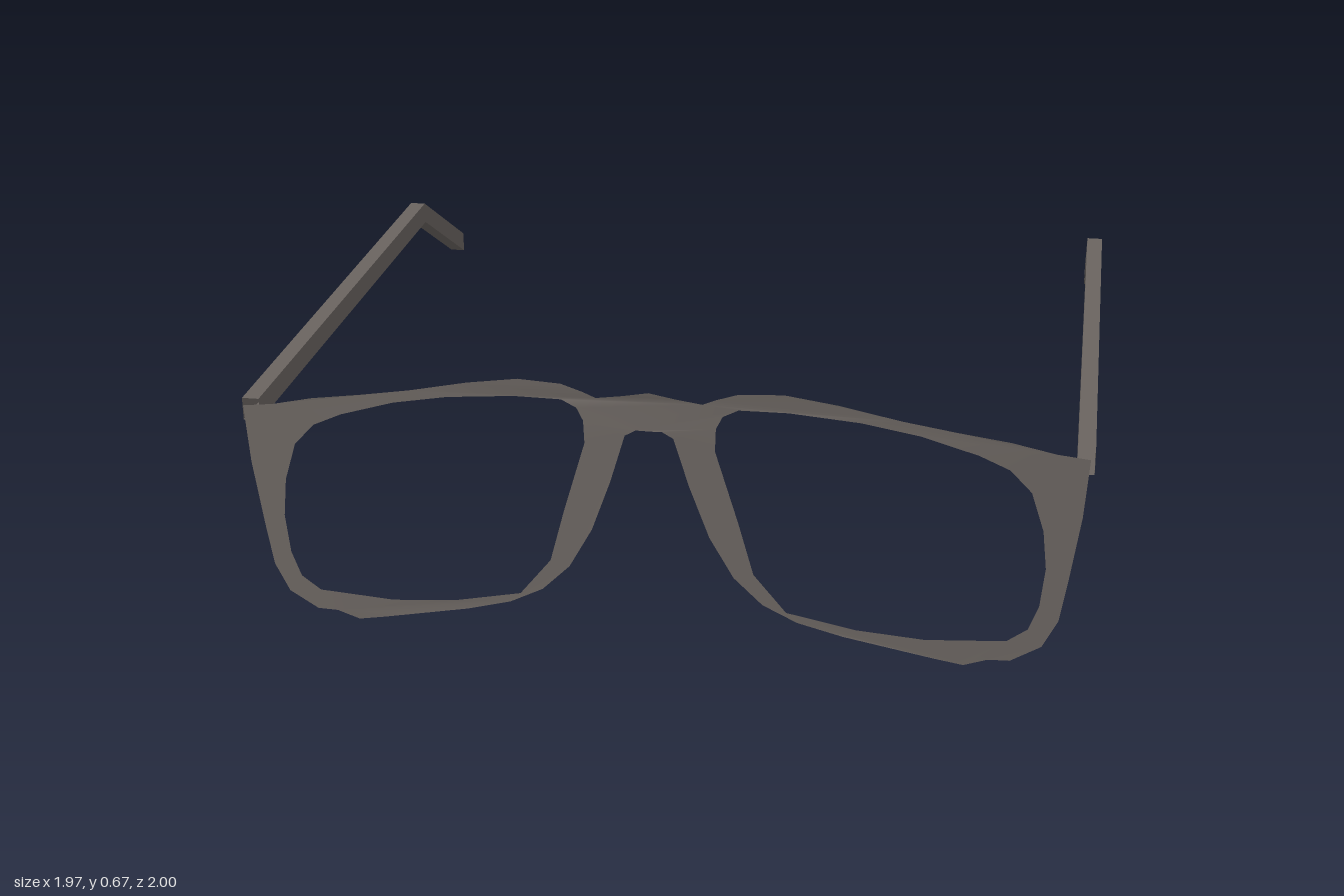
import * as THREE from 'three';

const mirror = (pts) => pts.map(([x, y]) => [-x, y]).reverse();
const vectors = (pts) => pts.map(([x, y]) => new THREE.Vector2(x, y));

// Left half of the outer edge, from the top of the bridge round to its underside
const OUTER = [
  [0.06, 0.648], [0.12, 0.638], [0.15, 0.65], [0.2, 0.665], [0.3, 0.667],
  [0.42, 0.645], [0.56, 0.61], [0.68, 0.585], [0.8, 0.562], [0.9, 0.535], [0.975, 0.522],
  [0.965, 0.38], [0.942, 0.22], [0.925, 0.117], [0.89, 0.05], [0.82, 0.013],
  [0.77, 0.015], [0.715, 0], [0.65, 0.015], [0.57, 0.035], [0.44, 0.067],
  [0.335, 0.1], [0.256, 0.143], [0.19, 0.21], [0.135, 0.31], [0.09, 0.435],
  [0.055, 0.552], [0.03, 0.567],
];

// Left lens opening
const LENS = [
  [0.15, 0.58], [0.165, 0.61], [0.2, 0.627], [0.31, 0.624], [0.47, 0.604],
  [0.6, 0.575], [0.73, 0.53], [0.8, 0.495], [0.85, 0.44], [0.88, 0.345],
  [0.89, 0.25], [0.88, 0.155], [0.857, 0.095], [0.81, 0.064], [0.625, 0.064],
  [0.47, 0.085], [0.31, 0.125], [0.235, 0.22], [0.2, 0.35], [0.148, 0.525],
];

// Thin front sheet, wrapped back toward the temples
function frontFrame(material) {
  const shape = new THREE.Shape(vectors([[0, 0.66], ...OUTER, [0, 0.567], ...mirror(OUTER)]));
  shape.holes.push(new THREE.Path(vectors(LENS)), new THREE.Path(vectors(mirror(LENS))));
  const geometry = new THREE.ShapeGeometry(shape);
  const p = geometry.attributes.position;
  for (let i = 0; i < p.count; i++) {
    p.setZ(i, 1 - 0.1 * Math.abs(p.getX(i)) ** 1.4);
  }
  geometry.computeVertexNormals();
  const mesh = new THREE.Mesh(geometry, material);
  mesh.name = 'frontFrame';
  return mesh;
}

// Square tube with open ends, bent down behind the ear
function temple(side, material) {
  const sections = [[0.88, 0.475, 0.53], [-0.59, 0.447, 0.503], [-1, 0.21, 0.265]];
  const rings = sections.map(([z, low, high]) => [
    [0.945, low, z], [0.985, low, z], [0.985, high, z], [0.945, high, z],
  ]);
  const positions = [];
  for (let s = 0; s < rings.length - 1; s++) {
    for (let k = 0; k < 4; k++) {
      const n = (k + 1) % 4;
      const a = rings[s][k], b = rings[s][n], c = rings[s + 1][n], d = rings[s + 1][k];
      const corners = side > 0 ? [a, d, c, a, c, b] : [a, c, d, a, b, c];
      for (const [x, y, z] of corners) positions.push(side * x, y, z);
    }
  }
  const geometry = new THREE.BufferGeometry();
  geometry.setAttribute('position', new THREE.Float32BufferAttribute(positions, 3));
  geometry.computeVertexNormals();
  const mesh = new THREE.Mesh(geometry, material);
  mesh.name = side > 0 ? 'leftTemple' : 'rightTemple';
  return mesh;
}

export function createModel() {
  const group = new THREE.Group();
  group.name = 'glasses';
  const material = new THREE.MeshStandardMaterial({ color: 0x6a6460, side: THREE.DoubleSide });
  material.name = 'warmGrey';
  group.add(frontFrame(material), temple(1, material), temple(-1, material));
  return group;
}
